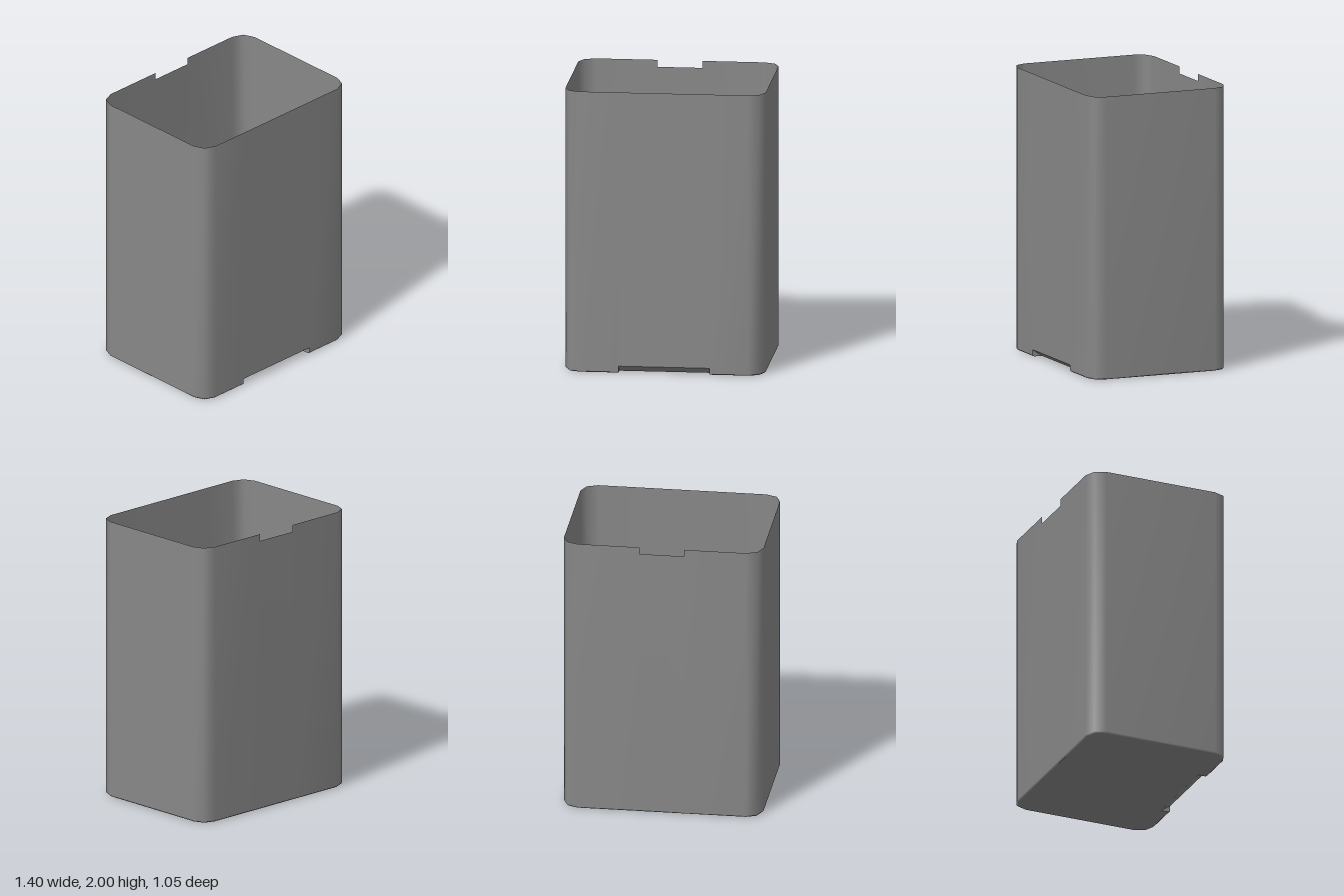
import * as THREE from 'three';
import { mergeVertices } from 'three/addons/utils/BufferGeometryUtils.js';

const HALF_X = 0.7, HALF_Z = 0.523, HEIGHT = 2, RADIUS = 0.11;
const BEVEL = 0.012, BEVEL_HEIGHT = 0.01;                        // bottom edge
const RIM_NOTCH = { half: 0.156, depth: 0.05 };                  // back wall, top
const RECESS = { half: 0.319, height: 0.048, innerZ: 0.452 };    // front wall, bottom

// One vertical section of the sheet: floor edge, wall foot, rim
function section(place, top = HEIGHT) {
  const at = (inset, y) => { const [x, z] = place(inset); return new THREE.Vector3(x, y, z); };
  return [at(BEVEL, 0), at(0, BEVEL_HEIGHT), at(0, top)];
}

// Section over the sloping recess in the front wall
function recessSection(x) {
  return [
    new THREE.Vector3(x, 0, RECESS.innerZ),
    new THREE.Vector3(x, RECESS.height, HALF_Z),
    new THREE.Vector3(x, HEIGHT, HALF_Z),
  ];
}

// Three sections round one corner, starting at the given angle
function corner(sx, sz, startDegrees) {
  return [0, 45, 90].map((step) => {
    const a = THREE.MathUtils.degToRad(startDegrees - step);
    return section((inset) => [
      sx * (HALF_X - RADIUS) + (RADIUS - inset) * Math.cos(a),
      sz * (HALF_Z - RADIUS) + (RADIUS - inset) * Math.sin(a),
    ]);
  });
}

// Downward-facing triangles filling the floor outline
function floorTriangles(points) {
  const outline = points.map((p) => new THREE.Vector2(p.x, p.z));
  return THREE.ShapeUtils.triangulateShape(outline, []).map((face) => {
    const [a, b, c] = face.map((i) => points[i]);
    const normalY = b.clone().sub(a).cross(c.clone().sub(a)).y;
    return normalY < 0 ? [a, b, c] : [a, c, b];
  });
}

function geometryFrom(triangles) {
  const visible = triangles.filter(([a, b, c]) => new THREE.Triangle(a, b, c).getArea() > 1e-9);
  return new THREE.BufferGeometry().setFromPoints(visible.flat());
}

export function createModel() {
  const front = (x) => section((inset) => [x, HALF_Z - inset]);
  const back = (x, top) => section((inset) => [x, inset - HALF_Z], top);
  const low = HEIGHT - RIM_NOTCH.depth;

  // Doubled sections give the notch and the recess their upright sides
  const sections = [
    front(-RECESS.half), recessSection(-RECESS.half),
    recessSection(RECESS.half), front(RECESS.half),
    ...corner(1, 1, 90), ...corner(1, -1, 0),
    back(RIM_NOTCH.half), back(RIM_NOTCH.half, low),
    back(-RIM_NOTCH.half, low), back(-RIM_NOTCH.half),
    ...corner(-1, -1, -90), ...corner(-1, 1, -180),
  ];

  // The lowest strip of the first three spans is the recess, the rest is the shell
  const shell = floorTriangles(sections.map((s) => s[0]));
  const recess = [];
  sections.forEach((s, i) => {
    const next = sections[(i + 1) % sections.length];
    for (let j = 0; j < s.length - 1; j++) {
      const target = i < 3 && j === 0 ? recess : shell;
      target.push([s[j], next[j], next[j + 1]], [s[j], next[j + 1], s[j + 1]]);
    }
  });

  // Shared vertices: large flat faces dominate, so only corners and bevel blend
  const shellGeometry = mergeVertices(geometryFrom(shell), 1e-4);
  shellGeometry.computeVertexNormals();
  const recessGeometry = geometryFrom(recess);
  recessGeometry.computeVertexNormals();

  const material = new THREE.MeshStandardMaterial({ color: 0x888888, side: THREE.DoubleSide });
  const group = new THREE.Group();
  group.name = 'openContainer';
  const add = (name, geometry) => {
    const mesh = new THREE.Mesh(geometry, material);
    mesh.name = name;
    group.add(mesh);
  };
  add('shell', shellGeometry);
  add('frontRecess', recessGeometry);
  return group;
}
